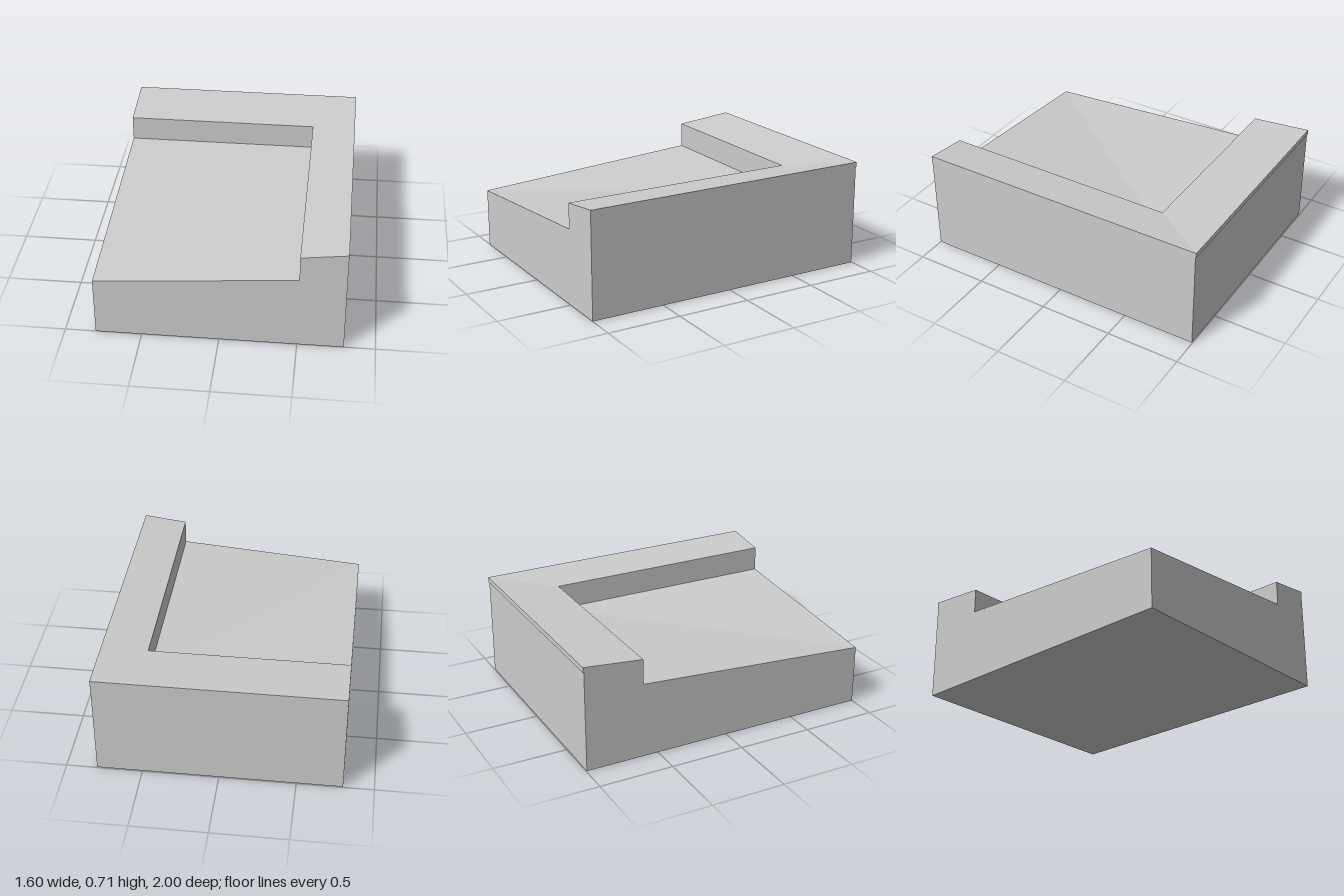
import * as THREE from 'three';

const LEFT = -0.8, FRONT = 1;

// Section across the bank: [x on the front branch, z on the back branch, height]
const ground = [[-0.8, 1, 0.403], [0.503, -0.598, 0.508]];
const cliff = [[0.503, -0.598, 0.508], [0.503, -0.598, 0.678]];
const ledge = [[0.503, -0.598, 0.678], [0.8, -1, 0.715]];
const lip = [[0.8, -1, 0.715], [0.8, -1, 0.68], [0.799, -0.995, 0.68]];
const base = [[0.799, -0.995, 0.68], [0.799, -0.995, 0], [-0.8, 1, 0]];

// Sweeps a section along both branches, mitred at the corner
function sweep(section) {
  const pos = [];
  const quad = (a, b, c, d) => pos.push(...a, ...b, ...c, ...a, ...c, ...d);
  const front = ([x, , y]) => [x, y, FRONT];
  const mitre = ([x, z, y]) => [x, y, z];
  const side = ([, z, y]) => [LEFT, y, z];
  for (let i = 0; i < section.length - 1; i++) {
    const p = section[i], q = section[i + 1];
    quad(front(p), front(q), mitre(q), mitre(p));
    quad(mitre(p), mitre(q), side(q), side(p));
  }
  const g = new THREE.BufferGeometry();
  g.setAttribute('position', new THREE.Float32BufferAttribute(pos, 3));
  g.computeVertexNormals();
  return g;
}

// Flat end face with the outline of the whole section, down to the outer bottom corner
function endFace(axis) {
  const outline = [...[ground, cliff, ledge, lip].flatMap((s) => s.slice(0, -1)), ...base];
  return new THREE.ShapeGeometry(new THREE.Shape(outline.map((p) => new THREE.Vector2(p[axis], p[2]))));
}

export function createModel() {
  const group = new THREE.Group();
  group.name = 'corner cliff tile';
  const stone = new THREE.MeshStandardMaterial({ color: 0xcccccc });
  stone.name = 'light grey';

  const add = (name, geometry) => {
    const mesh = new THREE.Mesh(geometry, stone);
    mesh.name = name;
    group.add(mesh);
  };

  add('lowerGround', sweep(ground));
  add('cliffWall', sweep(cliff));
  add('upperLedge', sweep(ledge));
  add('overhangLip', sweep(lip));
  add('baseBlock', sweep(base));
  add('frontFace', endFace(0).translate(0, 0, FRONT));
  add('sideFace', endFace(1).rotateY(-Math.PI / 2).translate(LEFT, 0, 0));
  return group;
}
